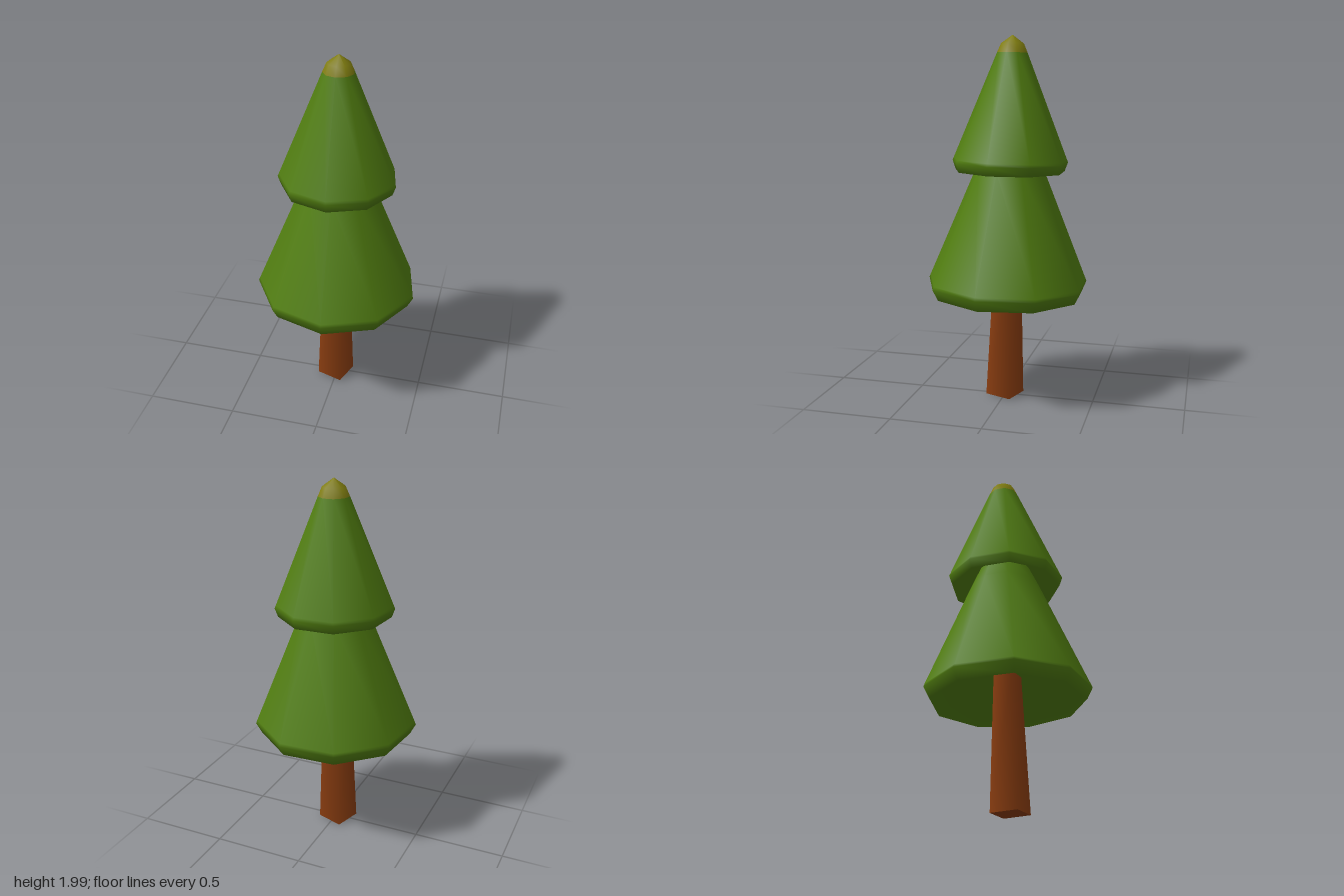
import * as THREE from 'three';

const paint = (name, color) => {
  const m = new THREE.MeshStandardMaterial({ color });
  m.name = name;
  return m;
};

export function createModel() {
  const leafGreen = paint('leafGreen', 0x507c10);
  const barkBrown = paint('barkBrown', 0x883c10);
  const tipYellow = paint('tipYellow', 0x7f7c10);

  const model = new THREE.Group();
  model.name = 'pineTree';

  // Whole tree leans very slightly backwards
  const tree = new THREE.Group();
  tree.name = 'leaningTree';
  tree.position.set(-0.004, 0.003, 0.003);
  tree.rotation.x = -0.021;
  model.add(tree);

  const add = (name, geometry, material) => {
    const mesh = new THREE.Mesh(geometry, material);
    mesh.name = name;
    tree.add(mesh);
    return mesh;
  };

  // Nine-sided surface of revolution, slightly turned
  const ninegon = (profile) => new THREE.LatheGeometry(
    profile.map(([r, y]) => new THREE.Vector2(r, y)), 9, THREE.MathUtils.degToRad(2.5));

  // Tapered four-sided trunk
  const trunkHeight = 0.74;
  const trunk = new THREE.CylinderGeometry(0.078, 0.108, trunkHeight, 4, 1, false, THREE.MathUtils.degToRad(27));
  trunk.translate(-0.006, trunkHeight / 2 + 0.004, 0.002);
  add('trunk', trunk, barkBrown);

  // Lower tier: hollow underside, turned-in rim, long sloping skirt
  add('lowerFoliage', ninegon([
    [0, 0.8], [0.07, 0.78], [0.39, 0.615], [0.42, 0.592],
    [0.451, 0.652], [0.444, 0.67], [0.19, 1.28], [0.11, 1.46],
  ]), leafGreen);

  // Upper tier, ending where the tip begins
  add('upperFoliage', ninegon([
    [0, 1.46], [0.09, 1.43], [0.28, 1.295], [0.305, 1.275],
    [0.322, 1.323], [0.315, 1.34], [0.083, 1.905],
  ]), leafGreen);

  // Yellowish blunt tip
  add('treeTip', ninegon([[0.083, 1.905], [0.062, 1.953], [0, 1.997]]), tipYellow);

  return model;
}
